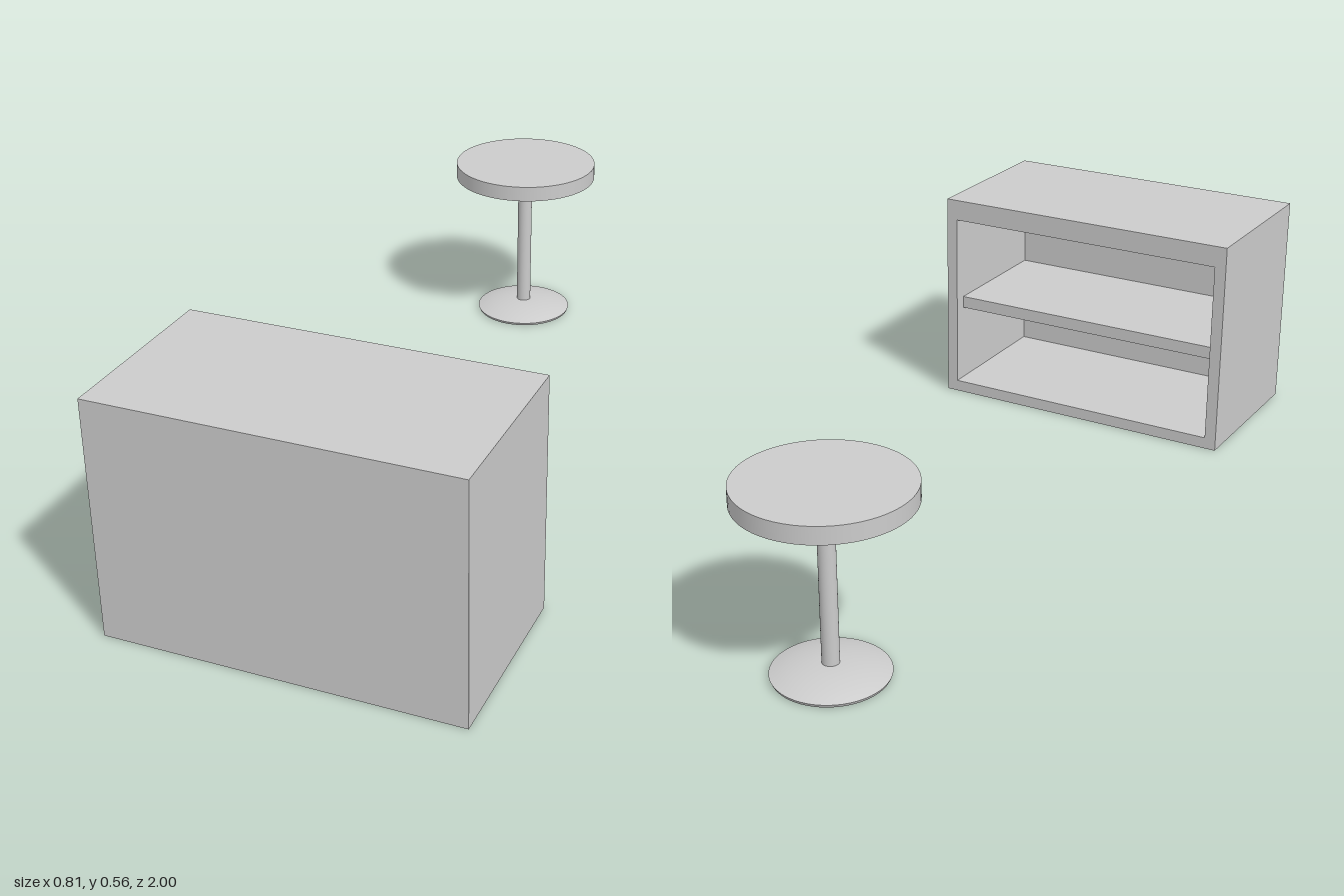
import * as THREE from 'three';

const material = new THREE.MeshStandardMaterial({ color: 0xcccccc });

function addMesh(parent, name, geometry, x, y, z) {
  const mesh = new THREE.Mesh(geometry, material);
  mesh.name = name;
  mesh.position.set(x, y, z);
  parent.add(mesh);
  return mesh;
}

// Box given by its low and high corners
function addBox(parent, name, [x0, y0, z0], [x1, y1, z1]) {
  addMesh(parent, name, new THREE.BoxGeometry(x1 - x0, y1 - y0, z1 - z0),
    (x0 + x1) / 2, (y0 + y1) / 2, (z0 + z1) / 2);
}

// Counter cabinet, closed at the front and open towards -z
function createCounter() {
  const counter = new THREE.Group();
  counter.name = 'counter';
  const w = 0.405, h = 0.555, back = 0.57, front = 1;
  const wall = 0.03, top = 0.055, panel = 0.045;
  const inner = w - wall, inside = front - panel;

  addBox(counter, 'counterTop', [-w, h - top, back], [w, h, front]);
  addBox(counter, 'counterFloor', [-w, 0, back], [w, wall, front]);
  addBox(counter, 'frontPanel', [-w, wall, inside], [w, h - top, front]);
  addBox(counter, 'rightSide', [-w, wall, back], [-inner, h - top, inside]);
  addBox(counter, 'leftSide', [inner, wall, back], [w, h - top, inside]);
  addBox(counter, 'shelf', [-inner, 0.238, back + 0.033], [inner, 0.27, inside]);
  return counter;
}

// Round pedestal stool
function createStool() {
  const stool = new THREE.Group();
  stool.name = 'stool';
  addMesh(stool, 'seat', new THREE.CylinderGeometry(0.19, 0.19, 0.04, 64), 0, 0.42, 0);
  addMesh(stool, 'post', new THREE.CylinderGeometry(0.019, 0.019, 0.38, 32, 1, true), 0, 0.21, 0);

  // Domed foot: thin rim with a shallow curved top
  const dome = new THREE.SplineCurve([
    [0.128, 0.007], [0.1, 0.016], [0.068, 0.023], [0.035, 0.027], [0, 0.028],
  ].map(([r, y]) => new THREE.Vector2(r, y)));
  addMesh(stool, 'footDome', new THREE.LatheGeometry(dome.getPoints(12), 64), 0, 0, 0);
  addMesh(stool, 'footRim', new THREE.CylinderGeometry(0.128, 0.125, 0.007, 64), 0, 0.0035, 0);

  stool.position.set(-0.148, 0, -0.81);
  return stool;
}

export function createModel() {
  const model = new THREE.Group();
  model.name = 'counterAndStool';
  model.add(createCounter(), createStool());
  return model;
}
